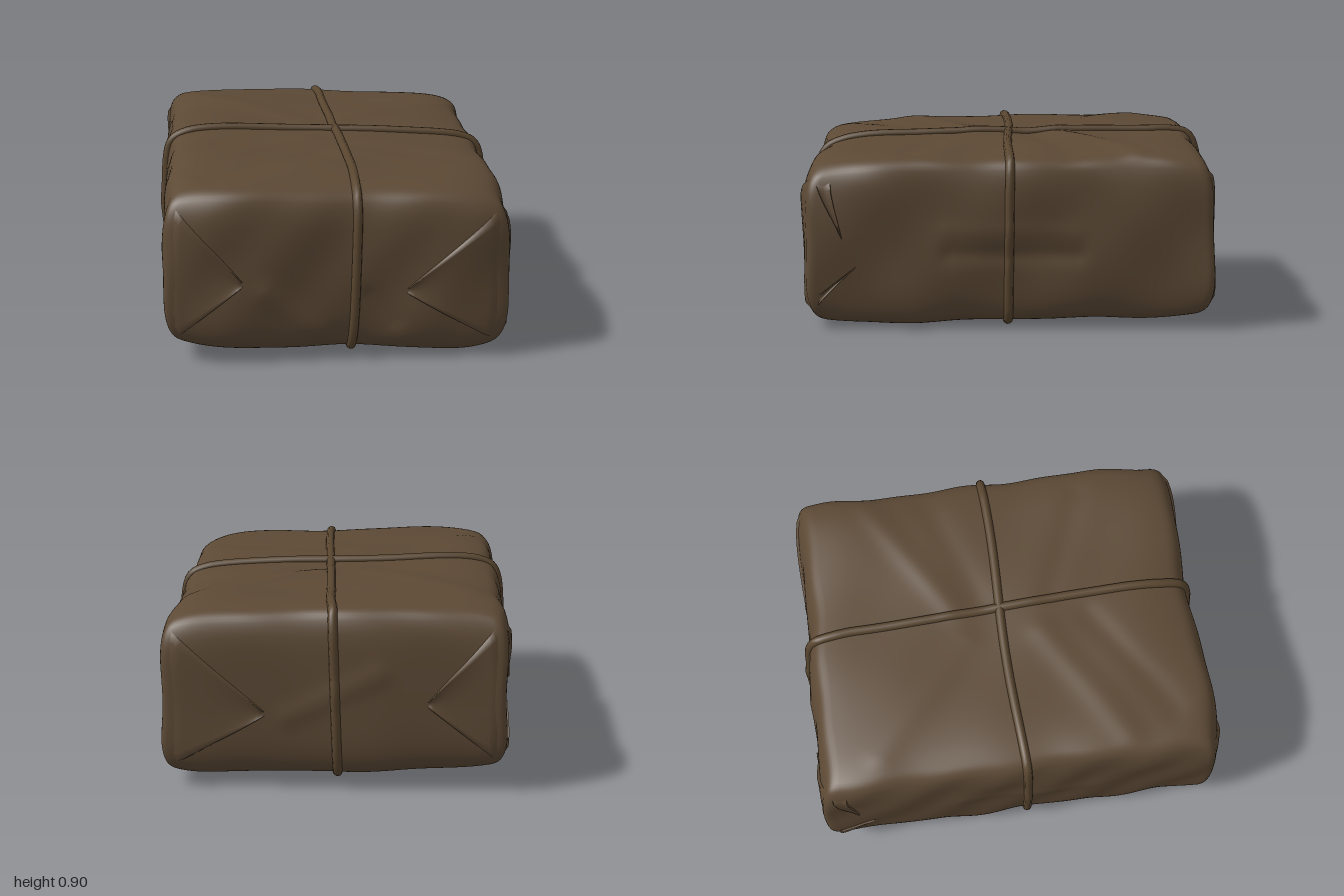
import * as THREE from 'three';
import { mergeVertices } from 'three/addons/utils/BufferGeometryUtils.js';

const H = [0.785, 0.408, 0.96]; // half sizes of the parcel
const R = 0.032; // edge rounding

// Soft creases: axis of the face, its side, start, end, height, width
const CREASES = [
  [1, 1, 0.1, -0.25, 0.72, -0.62, 0.01, 0.07],
  [1, 1, 0.1, -0.1, 0.7, -0.3, -0.008, 0.08],
  [1, 1, -0.1, -0.2, -0.65, -0.7, 0.008, 0.08],
  [1, 1, -0.1, 0.2, -0.7, 0.55, 0.01, 0.08],
  [1, 1, -0.05, 0.45, -0.6, 0.8, -0.008, 0.07],
  [1, 1, 0.12, 0.28, 0.65, 0.5, -0.007, 0.07],
  [1, -1, 0.1, 0.2, 0.6, 0.7, 0.008, 0.07],
  [1, -1, -0.1, -0.2, -0.6, -0.6, 0.008, 0.07],
  [0, 1, 0.06, 0.3, 0.04, -0.3, 0.004, 0.05],
  [0, 1, -0.06, 0.28, -0.08, -0.3, -0.01, 0.05],
  [0, -1, 0.05, -0.3, 0.02, 0.35, 0.004, 0.06],
  [2, 1, -0.32, -0.1, -0.1, -0.3, 0.01, 0.06],
  [2, 1, 0.15, -0.12, 0.25, -0.25, -0.008, 0.05],
  [2, -1, -0.2, 0.1, 0.2, -0.1, 0.008, 0.06],
];

// Projects a point on the plain box onto the rounded box, grown by g
function roundOff(p, g) {
  const inner = p.map((v, i) => THREE.MathUtils.clamp(v, R - H[i], H[i] - R));
  const d = new THREE.Vector3(...p.map((v, i) => v - inner[i])).normalize().multiplyScalar(R + g);
  return [inner[0] + d.x, inner[1] + d.y, inner[2] + d.z];
}

// Bends the tidy box into a lumpy, leaning, hand-wrapped parcel
function warp(p) {
  const q = [...p];
  for (const [axis, side, a0, b0, a1, b1, height, width] of CREASES) {
    const [i, j] = [[1, 2], [0, 2], [0, 1]][axis];
    const dx = a1 - a0, dy = b1 - b0;
    const t = THREE.MathUtils.clamp(((p[i] - a0) * dx + (p[j] - b0) * dy) / (dx * dx + dy * dy), 0, 1);
    const d = Math.hypot(p[i] - a0 - t * dx, p[j] - b0 - t * dy) / width;
    const near = THREE.MathUtils.smoothstep(side * p[axis], H[axis] - R, H[axis] - 0.01);
    q[axis] += side * height * Math.exp(-d * d) * near;
  }
  let [x, y, z] = q;
  const u = p[0] / H[0], v = p[1] / H[1], w = p[2] / H[2];
  // Sides bulge at mid height and draw in towards the top and bottom edges
  x = x * (1 - 0.045 * v ** 6) + u * (0.006 * Math.sin(9 * p[2] + 3 * v) + 0.004 * Math.sin(17 * p[2] - 5 * v + 1) + 0.009 * (1 - v * v));
  z = z * (1 - 0.05 * v ** 6) + w * (0.004 * Math.sin(15 * p[0] - 4 * v) + 0.01 * (1 - v * v));
  // Front end swells in two places; back end runs askew and leans
  if (w > 0) z += w * w * (0.014 * Math.cos(6.28 * (p[0] + 0.42)) - 0.022 * u ** 6);
  else z += w * w * (0.027 * u + 0.012 * v + 0.006 * Math.sin(8 * p[0]));
  x -= 0.018 * w ** 3;
  // Top and bottom fall away towards the edges, and the whole leans
  const endDrop = v > 0 && w > 0 ? 0.1 : 0.06;
  y *= 1 - (v > 0 ? 0.1 : 0.07) * u ** 8 - endDrop * w ** 8;
  y += v * (0.004 * Math.sin(7 * p[0] + 4 * p[2]) + 0.003 * Math.sin(11 * p[2] - 5 * p[0]));
  y -= 0.025 * u + 0.014 * w;
  return [x, y, z];
}

function geometryFrom(positions, index) {
  const g = new THREE.BufferGeometry();
  g.setAttribute('position', new THREE.Float32BufferAttribute(positions, 3));
  g.setIndex(index);
  g.computeVertexNormals();
  return g;
}

function parcelGeometry() {
  let g = new THREE.BoxGeometry(...H.map((h) => 2 * h), 100, 54, 120);
  g.deleteAttribute('normal');
  g.deleteAttribute('uv');
  g = mergeVertices(g, 1e-4);
  const pos = g.attributes.position;
  for (let i = 0; i < pos.count; i++) {
    pos.setXYZ(i, ...warp(roundOff([pos.getX(i), pos.getY(i), pos.getZ(i)], 0)));
  }
  g.computeVertexNormals();
  return g;
}

// A raised triangle of folded paper: base a-c fades into the face, tip stands proud
function flapGeometry(axis, side, a, c, tip, lift) {
  const positions = [], index = [];
  const across = [0, 0.01, 0.08, 0.2, 0.35, 0.5, 0.65, 0.8, 0.92, 0.99, 1];
  const rows = 20, n = across.length;
  for (let r = 0; r <= rows; r++) {
    const t = (r / rows) * 0.995;
    across.forEach((v, k) => {
      const b = [0, 1].map((i) => THREE.MathUtils.lerp(a[i] + (c[i] - a[i]) * v, tip[i], t));
      const rim = k === 0 || k === n - 1 || r === rows;
      const edge = Math.abs(2 * v - 1) ** 2;
      const off = rim ? -0.012 : -0.004 + (lift + 0.004) * Math.min(1, t * 10) * (0.35 + 0.65 * edge);
      const depth = side * (H[axis] + off);
      positions.push(...warp(axis === 0 ? [depth, b[1], b[0]] : [b[0], b[1], depth]));
      if (r < rows && k < n - 1) {
        const i = r * n + k;
        index.push(i, i + 1, i + n, i + 1, i + n + 1, i + n);
      }
    });
  }
  return geometryFrom(positions, index);
}

// Closed string loop hugging the parcel; place(s, y) gives the point on the box
function stringGeometry(half, place) {
  const points = [];
  const corners = [[-1, -1], [1, -1], [1, 1], [-1, 1]];
  corners.forEach((from, k) => {
    const to = corners[(k + 1) % 4];
    for (let i = 0; i < 22; i++) {
      const t = i / 22;
      const s = (from[0] + (to[0] - from[0]) * t) * half;
      const y = (from[1] + (to[1] - from[1]) * t) * H[1];
      points.push(new THREE.Vector3(...warp(roundOff(place(s, y), 0.004))));
    }
  });
  return new THREE.TubeGeometry(new THREE.CatmullRomCurve3(points, true), 180, 0.022, 10, true);
}

export function createModel() {
  const group = new THREE.Group();
  const paper = new THREE.MeshStandardMaterial({ color: 0x5c4935, side: THREE.DoubleSide });
  paper.name = 'brown paper';
  const twine = new THREE.MeshStandardMaterial({ color: 0x58452f });
  twine.name = 'brown string';
  const add = (name, geometry, material) => {
    const mesh = new THREE.Mesh(geometry, material);
    mesh.name = name;
    group.add(mesh);
  };

  add('wrappedBox', parcelGeometry(), paper);

  for (const side of [1, -1]) {
    // Envelope folds on the front and back ends
    const end = side > 0 ? 'front' : 'back';
    add(end + 'FoldLeft', flapGeometry(2, side, [0.76, 0.37], [0.74, -0.36], [0.3, -0.09], 0.014), paper);
    add(end + 'FoldRight', flapGeometry(2, side, [-0.75, 0.36], [-0.755, -0.375], [-0.42, -0.05], 0.014), paper);
    // Narrow tucks on the long sides, beside diagonally opposite corners
    const tuck = side > 0 ? 'leftFront' : 'rightBack';
    add(tuck + 'UpperTuck', flapGeometry(0, side, [side * 0.93, 0.34], [side * 0.86, 0.34], [side * 0.79, 0.02], 0.012), paper);
    add(tuck + 'LowerTuck', flapGeometry(0, side, [side * 0.93, -0.33], [side * 0.91, -0.27], [side * 0.72, -0.11], 0.012), paper);
  }

  // String crossing on the top and underside
  add('lengthwiseString', stringGeometry(H[2], (s, y) => [0.045 + 0.04 * s + 0.03 * y - 0.1 * Math.max(0, -s - 0.8), y, s]), twine);
  add('crosswiseString', stringGeometry(H[0], (s, y) => [s, y, 0.005 - 0.012 * Math.cos(4 * s + 1) - 0.01 * y]), twine);

  // Centre the parcel and stand it on the ground
  const box = new THREE.Box3().setFromObject(group, true);
  const centre = box.getCenter(new THREE.Vector3());
  group.position.set(-centre.x, -box.min.y, -centre.z);
  return group;
}
